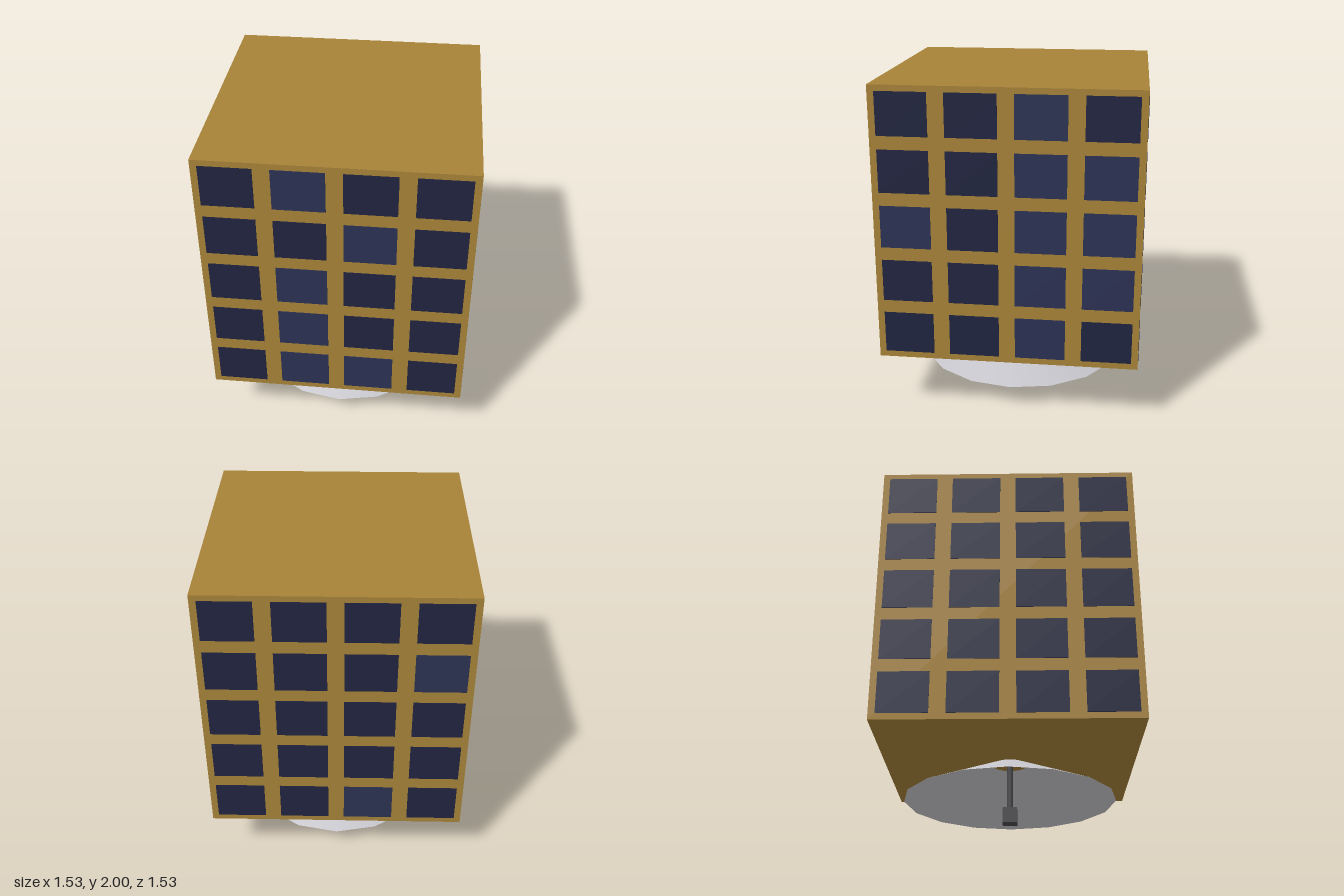
import * as THREE from 'three';

const GOLD = 0xa68238, DARK = 0x20243f, LIGHT = 0x2b3153, DISH = 0xc4c3c9, FEED = 0x4a4a4e;

// Lighter solar cells per side, rows from the top (L = light, D = dark)
const SIDES = [
  { name: 'front', turn: 0, rows: ['DLDD', 'DDLD', 'DLDD', 'DLDD', 'DLLD'] },
  { name: 'right', turn: 1, rows: ['DDLD', 'DDLL', 'LDLL', 'DDLL', 'DDLD'] },
  { name: 'back', turn: 2, rows: ['DDDD', 'DDDL', 'DDDD', 'DDDD', 'DDLD'] },
  { name: 'left', turn: 3, rows: ['DDDD', 'DDDD', 'DDDD', 'DDDD', 'DDDD'] },
];

function part(parent, name, geometry, material, x = 0, y = 0, z = 0) {
  const mesh = new THREE.Mesh(geometry, material);
  mesh.name = name;
  mesh.position.set(x, y, z);
  parent.add(mesh);
  return mesh;
}

export function createModel() {
  const model = new THREE.Group();
  model.name = 'satellite';
  const mat = (color) => new THREE.MeshStandardMaterial({ color });
  const dark = mat(DARK), light = mat(LIGHT), feed = mat(FEED);

  // Body
  const half = 0.764, bottom = 0.37, top = 2;
  part(model, 'body', new THREE.BoxGeometry(half * 2, top - bottom, half * 2), mat(GOLD), 0, (top + bottom) / 2, 0);

  // Solar cells: a 4 by 5 grid on each side
  const cell = new THREE.BoxGeometry(0.292, 0.25, 0.006);
  for (const { name, turn, rows } of SIDES) {
    const side = new THREE.Group();
    side.name = name + 'SolarCells';
    side.rotation.y = turn * Math.PI / 2;
    rows.forEach((row, r) => [...row].forEach((c, i) => {
      part(side, 'solarCell', cell, c === 'L' ? light : dark, (i - 1.5) * 0.386, 1.84 - r * 0.327, half);
    }));
    model.add(side);
  }

  // Dish antenna, open downwards
  const dishMat = mat(DISH);
  dishMat.side = THREE.DoubleSide;
  part(model, 'dish', new THREE.CylinderGeometry(0.11, 0.643, 0.23, 16, 1, true), dishMat, 0, 0.255, 0);

  // Feed horn on its rod
  part(model, 'feedRod', new THREE.CylinderGeometry(0.018, 0.018, 0.29, 8), feed, 0, 0.23, 0);
  part(model, 'feedHorn', new THREE.BoxGeometry(0.088, 0.09, 0.088), feed, 0, 0.045, 0);

  return model;
}
